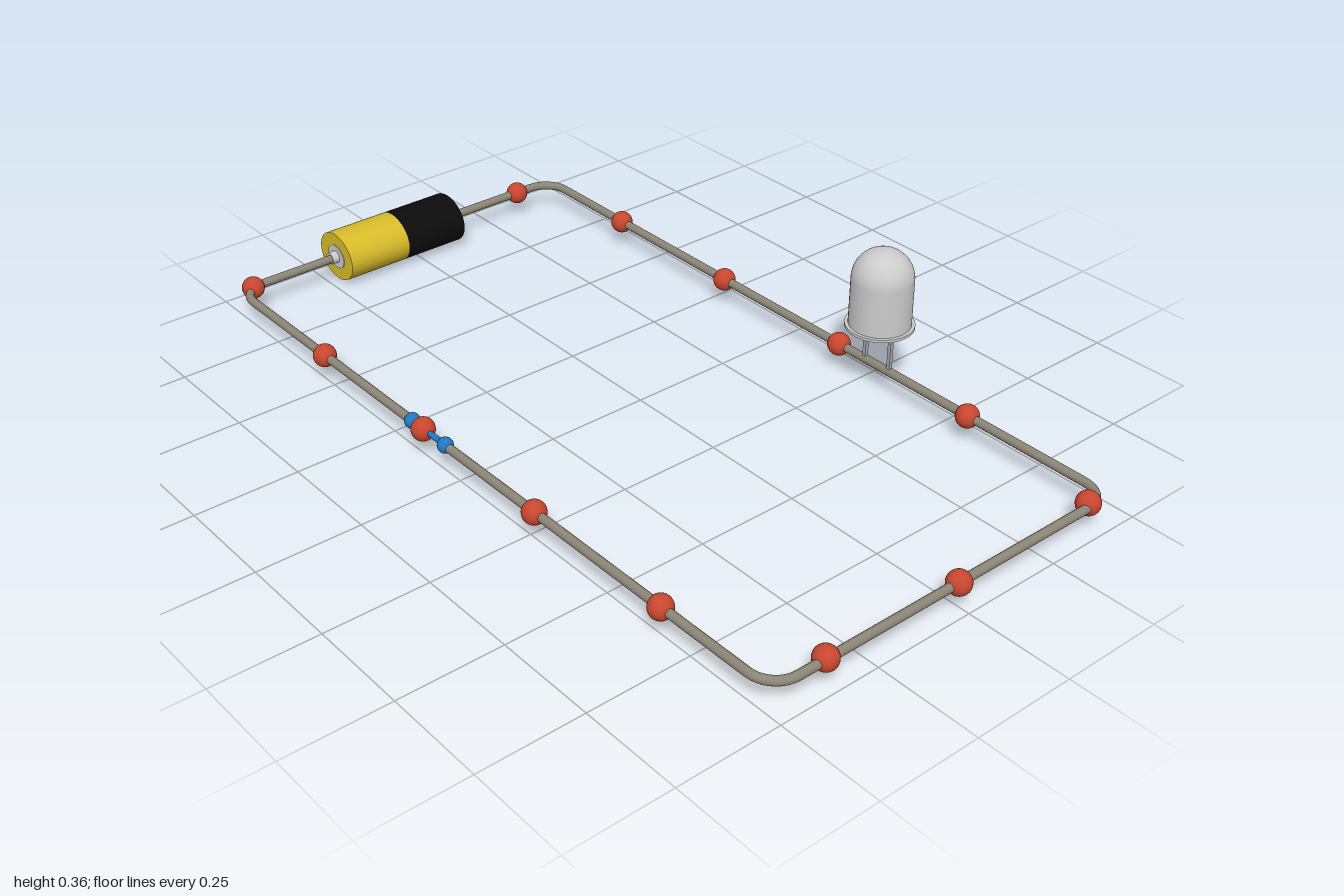
import * as THREE from 'three';

const WIRE_Y = 0.062;
const LEFT = -0.922, RIGHT = 0.972, BACK = -0.448, FRONT = 0.498;

const mat = (color) => new THREE.MeshStandardMaterial({ color });
const wireMat = mat(0x8c8676), redMat = mat(0xc9462f), blueMat = mat(0x1f78c4);
const greyMat = mat(0xcccccc), steelMat = mat(0xa9adb5);
const yellowMat = mat(0xd8bc2a), blackMat = mat(0x0c0c0c);

function add(parent, name, geometry, material, x = 0, y = 0, z = 0) {
  const mesh = new THREE.Mesh(geometry, material);
  mesh.name = name;
  mesh.position.set(x, y, z);
  parent.add(mesh);
  return mesh;
}

// Rounded rectangular loop, open where the switch sits
function wirePath(gapStart, gapEnd) {
  const r = 0.065;
  const path = new THREE.CurvePath();
  const corners = [[LEFT, FRONT], [LEFT, BACK], [RIGHT, BACK], [RIGHT, FRONT]]
    .map(([x, z]) => new THREE.Vector3(x, WIRE_Y, z));
  const end = new THREE.Vector3(gapEnd, WIRE_Y, FRONT);
  let from = new THREE.Vector3(gapStart, WIRE_Y, FRONT);
  corners.forEach((corner, i) => {
    const next = corners[i + 1] || end;
    const a = corner.clone().add(from.clone().sub(corner).setLength(r));
    const b = corner.clone().add(next.clone().sub(corner).setLength(r));
    const k = 0.552;
    path.add(new THREE.LineCurve3(from, a));
    path.add(new THREE.CubicBezierCurve3(a, a.clone().lerp(corner, k), b.clone().lerp(corner, k), b));
    from = b;
  });
  path.add(new THREE.LineCurve3(from, end));
  return path;
}

function createBattery() {
  const battery = new THREE.Group();
  battery.name = 'battery';
  // Cylinder along z, slightly flattened in height
  const slice = (name, r, z0, z1, material, flat = 0.84) => {
    const g = new THREE.CylinderGeometry(r, r, z1 - z0, 40).rotateX(Math.PI / 2).scale(1, flat, 1);
    add(battery, name, g, material, 0, 0, (z0 + z1) / 2);
  };
  slice('negativeHalf', 0.073, -0.12, 0.05, blackMat);
  slice('positiveHalf', 0.073, 0.05, 0.22, yellowMat);
  slice('negativeContact', 0.036, -0.122, -0.119, greyMat);
  slice('positiveContact', 0.036, 0.219, 0.222, greyMat);
  slice('positiveTip', 0.017, 0.22, 0.24, greyMat, 0.88);
  battery.position.set(-0.927, 0.0613, 0);
  return battery;
}

function createLamp() {
  const lamp = new THREE.Group();
  lamp.name = 'lamp';
  // Domed bulb
  const profile = [new THREE.Vector2(0.072, 0.172), new THREE.Vector2(0.0715, 0.29)];
  for (let i = 1; i <= 14; i++) {
    const a = (i / 14) * Math.PI / 2;
    profile.push(new THREE.Vector2(Math.max(0.0715 * Math.cos(a), 0), 0.29 + 0.0715 * Math.sin(a)));
  }
  add(lamp, 'bulb', new THREE.LatheGeometry(profile, 40), greyMat);
  add(lamp, 'flange', new THREE.CylinderGeometry(0.08, 0.08, 0.007, 40), greyMat, 0, 0.172, 0);
  // Two pins down to the wire
  for (const x of [-0.038, 0.038]) {
    add(lamp, 'pin', new THREE.BoxGeometry(0.009, 0.11, 0.009), steelMat, x, 0.116, 0);
  }
  lamp.position.set(0.305, 0, -0.447);
  return lamp;
}

function createSwitch(x0, x1) {
  const group = new THREE.Group();
  group.name = 'switch';
  const ball = new THREE.SphereGeometry(0.0185, 20, 14);
  for (const x of [x0, x1]) add(group, 'switchTerminal', ball, blueMat, x, WIRE_Y + 0.001, FRONT);
  const rod = new THREE.CylinderGeometry(0.007, 0.007, x1 - x0, 12).rotateZ(Math.PI / 2);
  add(group, 'switchBar', rod, blueMat, (x0 + x1) / 2, WIRE_Y + 0.001, FRONT);
  return group;
}

export function createModel() {
  const model = new THREE.Group();
  model.name = 'circuit';

  const x0 = -0.178, x1 = -0.053;
  add(model, 'wire', new THREE.TubeGeometry(wirePath(x0, x1), 420, 0.0105, 12), wireMat);

  // Charges spaced around the loop
  const charges = [
    [-0.615, BACK], [-0.217, BACK], [0.182, BACK], [0.581, BACK],
    [0.961, -0.395], [RIGHT, 0.005], [0.968, 0.36],
    [0.661, FRONT], [0.262, FRONT], [-0.137, FRONT], [-0.536, FRONT],
    [-0.919, 0.463], [LEFT, -0.338],
  ];
  const ball = new THREE.SphereGeometry(0.0275, 28, 18);
  for (const [x, z] of charges) add(model, 'charge', ball, redMat, x, WIRE_Y, z);

  model.add(createBattery(), createLamp(), createSwitch(x0, x1));
  return model;
}
